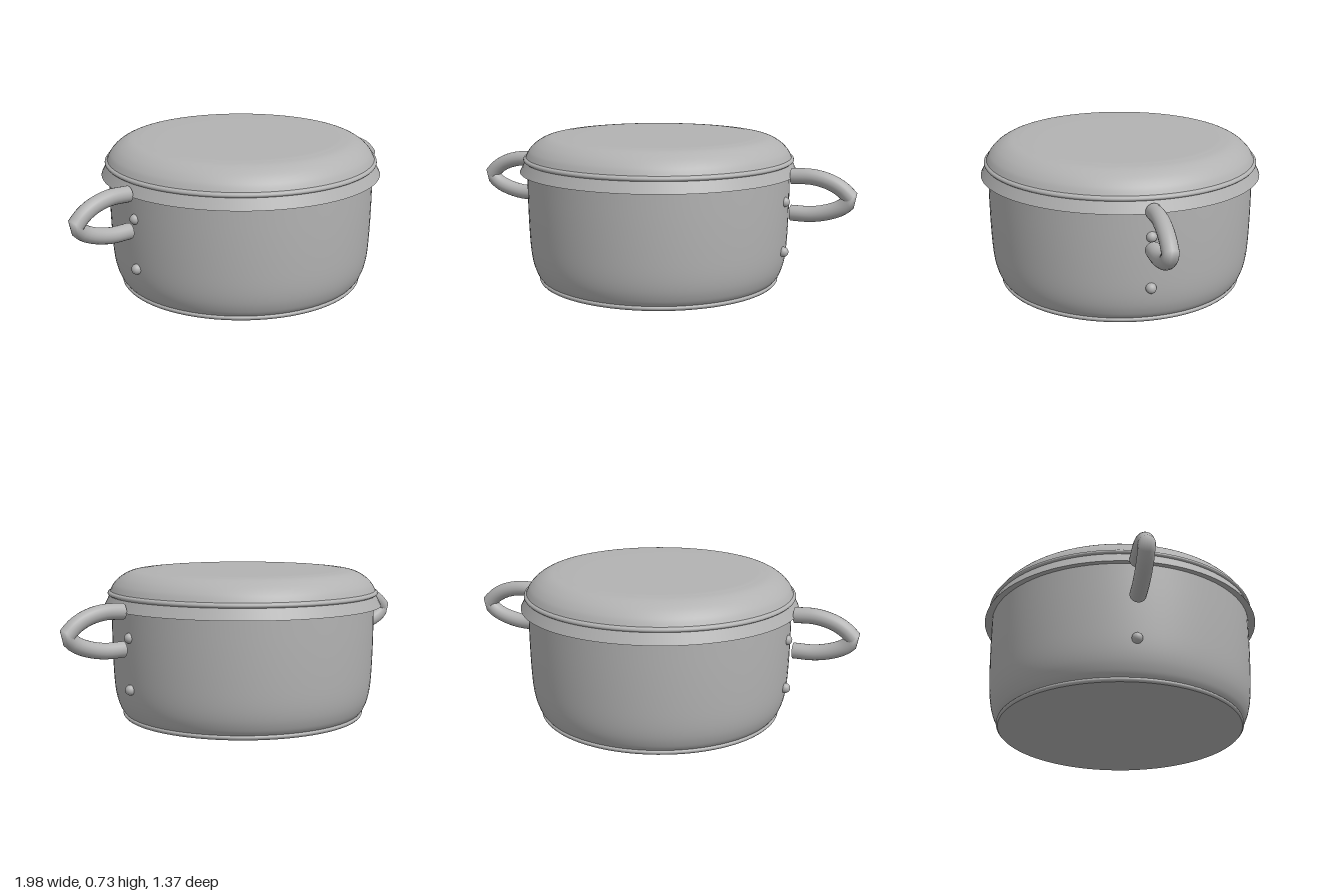
import * as THREE from 'three';

const steel = new THREE.MeshStandardMaterial({ color: 0xb2b2b2, side: THREE.DoubleSide });
steel.name = 'brushed steel';

const v2 = ([x, y]) => new THREE.Vector2(x, y);

// Smooth curve through profile points, sampled finely
const smooth = (pts, n) => new THREE.SplineCurve(pts.map(v2)).getPoints(n);

function add(parent, name, geometry) {
  const mesh = new THREE.Mesh(geometry, steel);
  mesh.name = name;
  parent.add(mesh);
  return mesh;
}

// Separate lathes per profile section keep the edges between them crisp
function addLathe(parent, name, sections) {
  const part = new THREE.Group();
  part.name = name;
  sections.forEach((pts, i) => add(part, `${name}Section${i + 1}`, new THREE.LatheGeometry(pts, 96)));
  parent.add(part);
}

// Loop handle: two bowed arms meeting at a sharp outer tip
function makeHandle() {
  const handle = new THREE.Group();
  const arm = [[0.68, 0.563], [0.78, 0.565], [0.865, 0.545], [0.925, 0.512], [0.966, 0.472]];
  const lower = [[0.966, 0.472], [0.925, 0.432], [0.865, 0.405], [0.78, 0.387], [0.68, 0.386]];
  const path = new THREE.CurvePath();
  for (const pts of [arm, lower]) {
    path.add(new THREE.CatmullRomCurve3(pts.map(([x, y]) => new THREE.Vector3(x, y, 0))));
  }
  add(handle, 'handleLoop', new THREE.TubeGeometry(path, 24, 0.038, 20, false));
  return handle;
}

export function createModel() {
  const pot = new THREE.Group();
  pot.name = 'cookingPot';

  // Base plate with a thin step under the wall
  addLathe(pot, 'base', [
    [[0, 0.004], [0.594, 0.004]].map(v2),
    smooth([[0.594, 0.004], [0.601, 0.012], [0.601, 0.02], [0.594, 0.026]], 8),
  ]);

  // Body wall, curving in towards the base
  addLathe(pot, 'body', [
    smooth([[0.594, 0.024], [0.612, 0.05], [0.63, 0.1], [0.641, 0.17], [0.647, 0.28], [0.65, 0.42], [0.65, 0.58]], 36),
  ]);

  // Lid: underside, flared rim, small bead, rounded shoulder and flat top
  addLathe(pot, 'lid', [
    [[0.65, 0.562], [0.686, 0.555]].map(v2),
    [[0.686, 0.555], [0.66, 0.607]].map(v2),
    smooth([[0.66, 0.607], [0.668, 0.614], [0.666, 0.624], [0.656, 0.63]], 10),
    smooth([[0.656, 0.63], [0.638, 0.662], [0.605, 0.694], [0.56, 0.718], [0.51, 0.727], [0.42, 0.73], [0, 0.73]], 48),
  ]);

  // Handles and rivets on both sides
  for (const side of [1, -1]) {
    const name = side > 0 ? 'left' : 'right';
    const handle = makeHandle();
    handle.name = `${name}Handle`;
    if (side < 0) handle.rotation.y = Math.PI;
    pot.add(handle);

    for (const y of [0.19, 0.435]) {
      const rivet = add(pot, `${name}Rivet`, new THREE.SphereGeometry(0.025, 20, 14));
      rivet.position.set(side * 0.648, y, 0);
    }
  }
  return pot;
}
